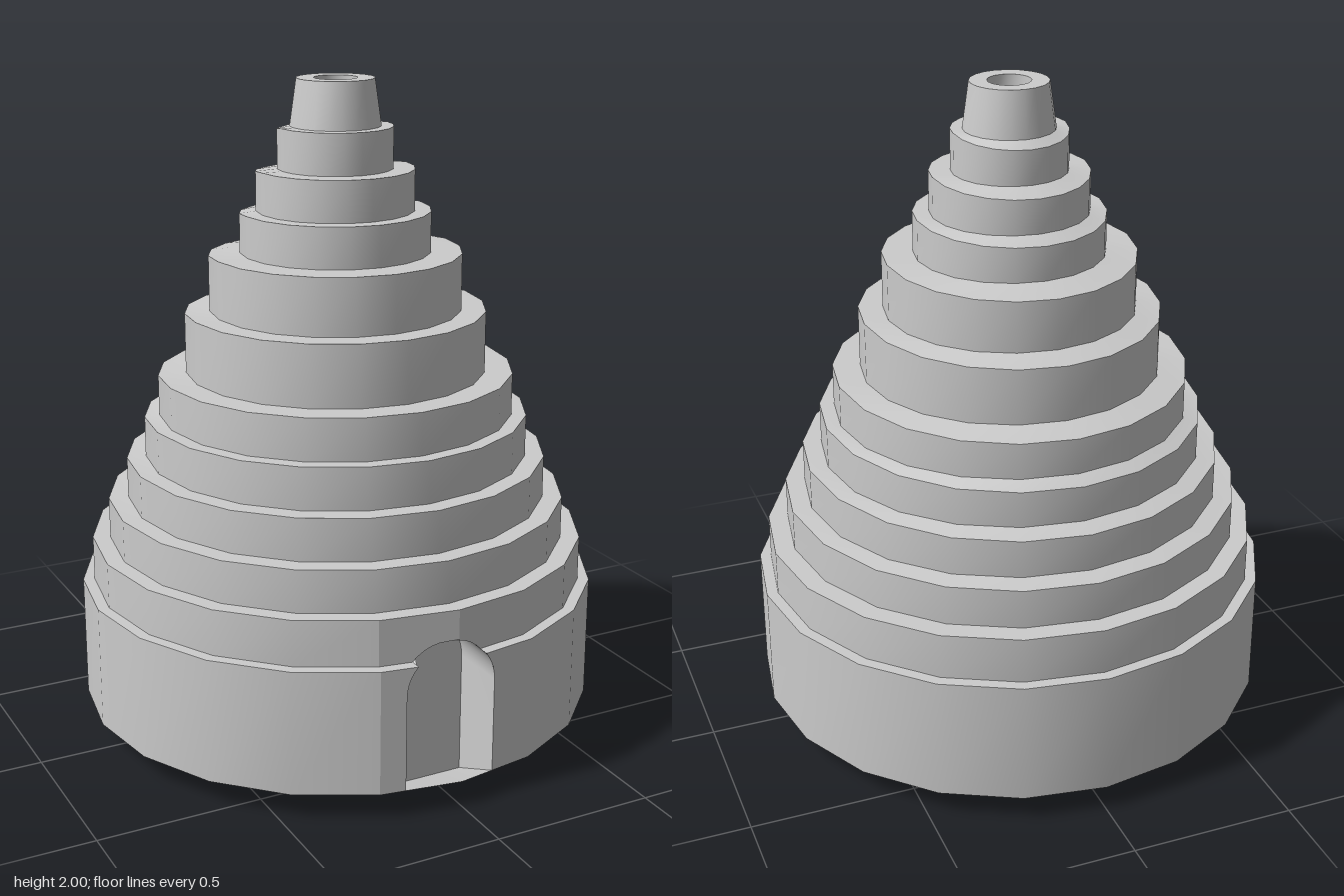
import * as THREE from 'three';

const SIDES = 20, STEP = (Math.PI * 2) / SIDES;
const material = new THREE.MeshStandardMaterial({ color: 0xcccccc, side: THREE.DoubleSide });

// Tiers from bottom to top: [radius, bottom y, top y]
const TIERS = [
  [0.8, 0.08, 0.46], [0.765, 0.46, 0.6], [0.708, 0.6, 0.73], [0.648, 0.73, 0.86],
  [0.59, 0.86, 0.99], [0.545, 0.99, 1.12], [0.46, 1.12, 1.31], [0.385, 1.31, 1.485],
  [0.29, 1.485, 1.61], [0.24, 1.61, 1.735], [0.175, 1.735, 1.86],
];

// Door arch
const DOOR = { x: -0.03, r: 0.14, spring: 0.37, back: 0.6 };
const DOOR_TOP = DOOR.spring + DOOR.r;

// Strip of faces between two rows of points
function loft(a, b, closed = false) {
  const n = a.length, index = [];
  for (let i = 0; i < (closed ? n : n - 1); i++) {
    const j = (i + 1) % n;
    index.push(i, j, n + j, i, n + j, n + i);
  }
  const g = new THREE.BufferGeometry().setFromPoints([...a, ...b]);
  g.setIndex(index);
  g.computeVertexNormals();
  return g;
}

// Ring of points starting at the front; the back can sag by `drop`
function ring(r, y, off = 0, drop = 0) {
  return Array.from({ length: SIDES }, (_, k) => {
    const c = Math.cos(k * STEP);
    return new THREE.Vector3(r * Math.sin(k * STEP) - off, y - drop * Math.max(0, -c), r * c + off);
  });
}

// Depth of the two front facets at a given x
const wallZ = (r, x) => r - Math.abs(x) * Math.tan(STEP / 2);

// Door edge at height y on side s; above the arch the halves meet at x = 0
function doorX(s, y) {
  if (y >= DOOR_TOP) return 0;
  const dy = Math.max(0, y - DOOR.spring);
  const x = DOOR.x + s * Math.sqrt(DOOR.r ** 2 - dy ** 2);
  return s > 0 ? Math.max(0, x) : x;
}

export function createModel() {
  const model = new THREE.Group();
  const add = (name, geometry, parent = model) => {
    const mesh = new THREE.Mesh(geometry, material);
    mesh.name = name;
    parent.add(mesh);
  };

  // Stepped walls and ledges
  TIERS.forEach(([r, y0, y1], i) => {
    const tier = new THREE.Group();
    tier.name = `tier${i + 1}`;
    model.add(tier);
    const off = i < 2 ? 0 : 0.005;
    const drop = i < 2 ? 0 : Math.min(0.02, 0.005 * i);
    const cut = (pts, on) => (on ? pts.slice(1) : pts);
    const low = ring(r, y0, off), top = ring(r, y1, off, drop);
    add('wall', loft(cut(low, i < 2), cut(top, i < 2), i >= 2), tier);
    const next = TIERS[i + 1];
    const inner = next ? ring(next[0], y1, i < 1 ? 0 : 0.005) : ring(0.138, y1, 0.003);
    add('ledge', loft(cut(top, i < 1), cut(inner, i < 1), i >= 1), tier);
  });

  // Front facets of the two lowest tiers, cut around the door
  const panels = new THREE.Group();
  panels.name = 'doorSurround';
  model.add(panels);
  const heights = [
    [0.08, 0.37, 0.39, 0.41, 0.43, 0.445, 0.46],
    [0.46, 0.475, 0.49, 0.5, 0.507, DOOR_TOP, 0.6],
  ];
  for (const s of [-1, 1]) {
    heights.forEach((ys, i) => {
      const r = TIERS[i][0], ox = s * r * Math.sin(STEP);
      const outer = ys.map((y) => new THREE.Vector3(ox, y, wallZ(r, ox)));
      const edge = ys.map((y) => new THREE.Vector3(doorX(s, y), y, wallZ(r, doorX(s, y))));
      add('frontWall', s > 0 ? loft(outer, edge) : loft(edge, outer), panels);
    });
    const ledge = TIERS.slice(0, 2).map(([r]) =>
      [doorX(s, 0.46), s * r * Math.sin(STEP)].map((x) => new THREE.Vector3(x, 0.46, wallZ(r, x))));
    add('frontLedge', s > 0 ? loft(ledge[0], ledge[1]) : loft(ledge[1], ledge[0]), panels);
  }

  // Door niche: arched lining, flat back and sloping floor
  const niche = new THREE.Group();
  niche.name = 'doorNiche';
  model.add(niche);
  const front = [], back = [];
  const put = (x, y, backY = y) => {
    front.push(new THREE.Vector3(x, y, wallZ(y > 0.46 ? TIERS[1][0] : TIERS[0][0], x)));
    back.push(new THREE.Vector3(x, backY, DOOR.back));
  };
  const arc = 24;
  put(DOOR.x + DOOR.r, 0.08, 0);
  for (let k = 0; k <= arc; k++) {
    const a = (k / arc) * Math.PI;
    put(DOOR.x + DOOR.r * Math.cos(a), DOOR.spring + DOOR.r * Math.sin(a));
  }
  put(DOOR.x - DOOR.r, 0.08, 0);
  add('nicheLining', loft(front, back), niche);

  const shape = new THREE.Shape(back.map((p) => new THREE.Vector2(p.x, p.y)));
  add('nicheBack', new THREE.ShapeGeometry(shape).translate(0, 0, DOOR.back), niche);

  const floorX = [DOOR.x - DOOR.r, 0, DOOR.x + DOOR.r];
  add('nicheFloor', loft(
    floorX.map((x) => new THREE.Vector3(x, 0.08, wallZ(TIERS[0][0], x))),
    floorX.map((x) => new THREE.Vector3(x, 0, DOOR.back)),
  ), niche);

  // Tapered chimney with a shallow hole in its top
  const chimney = new THREE.Group();
  chimney.name = 'chimney';
  model.add(chimney);
  const profile = [[0.138, 1.86], [0.118, 2], [0.065, 2], [0.065, 1.96], [0, 1.96]];
  ['chimneyWall', 'rim', 'holeWall', 'holeFloor'].forEach((name, i) => {
    const [a, b] = [profile[i], profile[i + 1]];
    add(name, loft(ring(a[0], a[1], 0.003), ring(b[0], b[1], 0.003), true), chimney);
  });

  return model;
}
